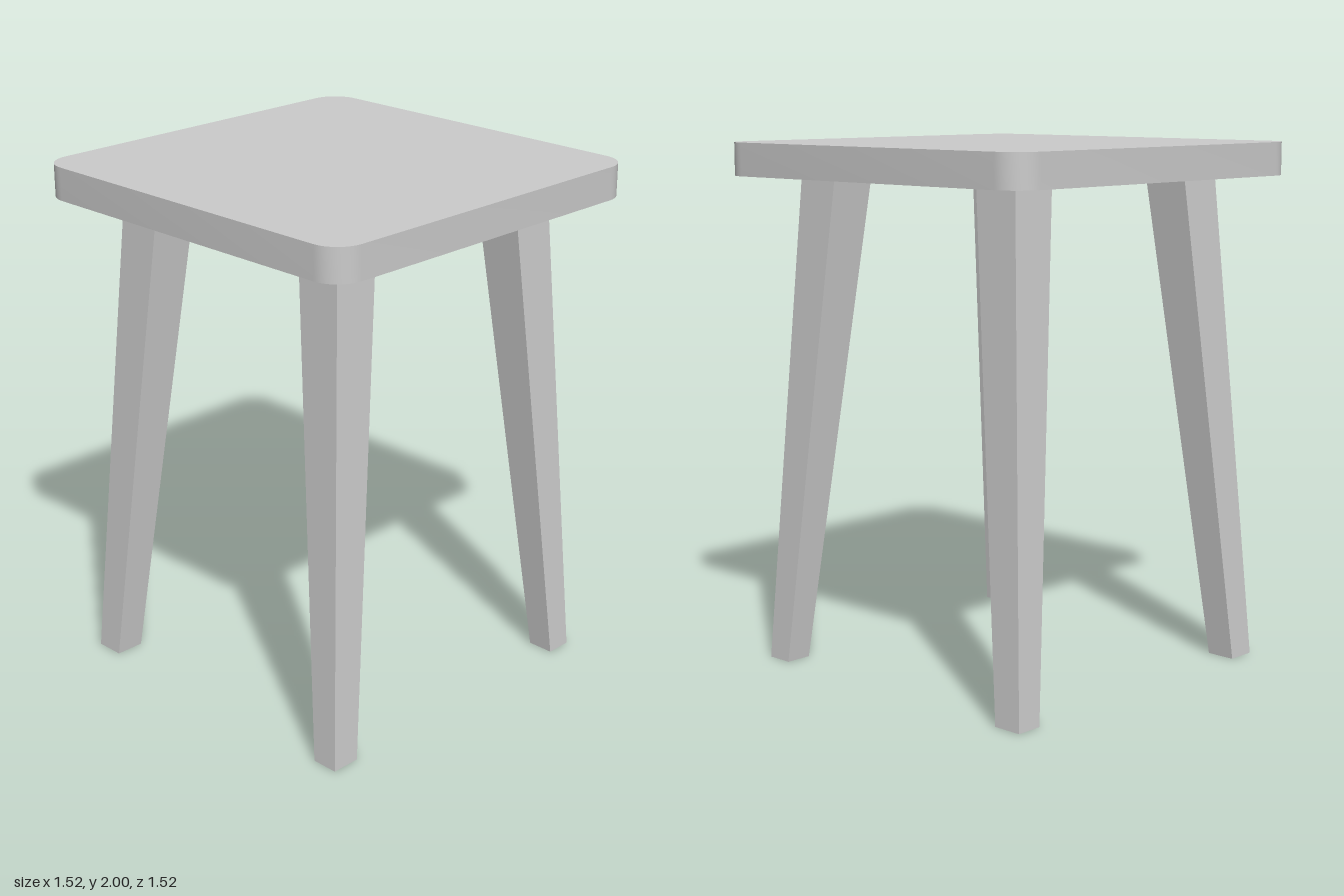
import * as THREE from 'three';
import { toCreasedNormals } from 'three/addons/utils/BufferGeometryUtils.js';

const SEAT_BOTTOM = 1.875, SEAT_TOP = 2, HALF = 0.76, RADIUS = 0.11;

// Square slab with rounded vertical corners
function seatGeometry() {
  const shape = new THREE.Shape();
  const c = HALF - RADIUS;
  shape.absarc(c, c, RADIUS, 0, Math.PI / 2);
  shape.absarc(-c, c, RADIUS, Math.PI / 2, Math.PI);
  shape.absarc(-c, -c, RADIUS, Math.PI, Math.PI * 1.5);
  shape.absarc(c, -c, RADIUS, Math.PI * 1.5, Math.PI * 2);
  shape.closePath();
  const g = new THREE.ExtrudeGeometry(shape, {
    depth: SEAT_TOP - SEAT_BOTTOM, bevelEnabled: false, curveSegments: 5,
  });
  g.rotateX(-Math.PI / 2).translate(0, SEAT_BOTTOM, 0);
  return toCreasedNormals(g, Math.PI / 5);
}

// Inner and outer distance of a leg from the centre, at the floor and under the seat
function legSpan(sign, atTop) {
  if (atTop) return [0.366, 0.551];
  return sign > 0 ? [0.555, 0.659] : [0.558, 0.672];
}

// Splayed leg tapering towards the floor: a unit box with its corners moved
function legGeometry(sx, sz) {
  const g = new THREE.BoxGeometry(1, 1, 1);
  const p = g.attributes.position;
  for (let i = 0; i < p.count; i++) {
    const atTop = p.getY(i) > 0;
    const place = (v, s) => s * legSpan(s, atTop)[v * s > 0 ? 1 : 0];
    p.setXYZ(i, place(p.getX(i), sx), atTop ? SEAT_BOTTOM : 0, place(p.getZ(i), sz));
  }
  g.computeVertexNormals();
  return g;
}

export function createModel() {
  const model = new THREE.Group();
  model.name = 'stool';
  const material = new THREE.MeshStandardMaterial({ color: 0xcccccc });
  const add = (name, geometry) => {
    const mesh = new THREE.Mesh(geometry, material);
    mesh.name = name;
    model.add(mesh);
  };

  add('seat', seatGeometry());
  for (const sx of [-1, 1]) {
    for (const sz of [-1, 1]) {
      add((sz > 0 ? 'front' : 'back') + (sx > 0 ? 'Left' : 'Right') + 'Leg', legGeometry(sx, sz));
    }
  }
  return model;
}
